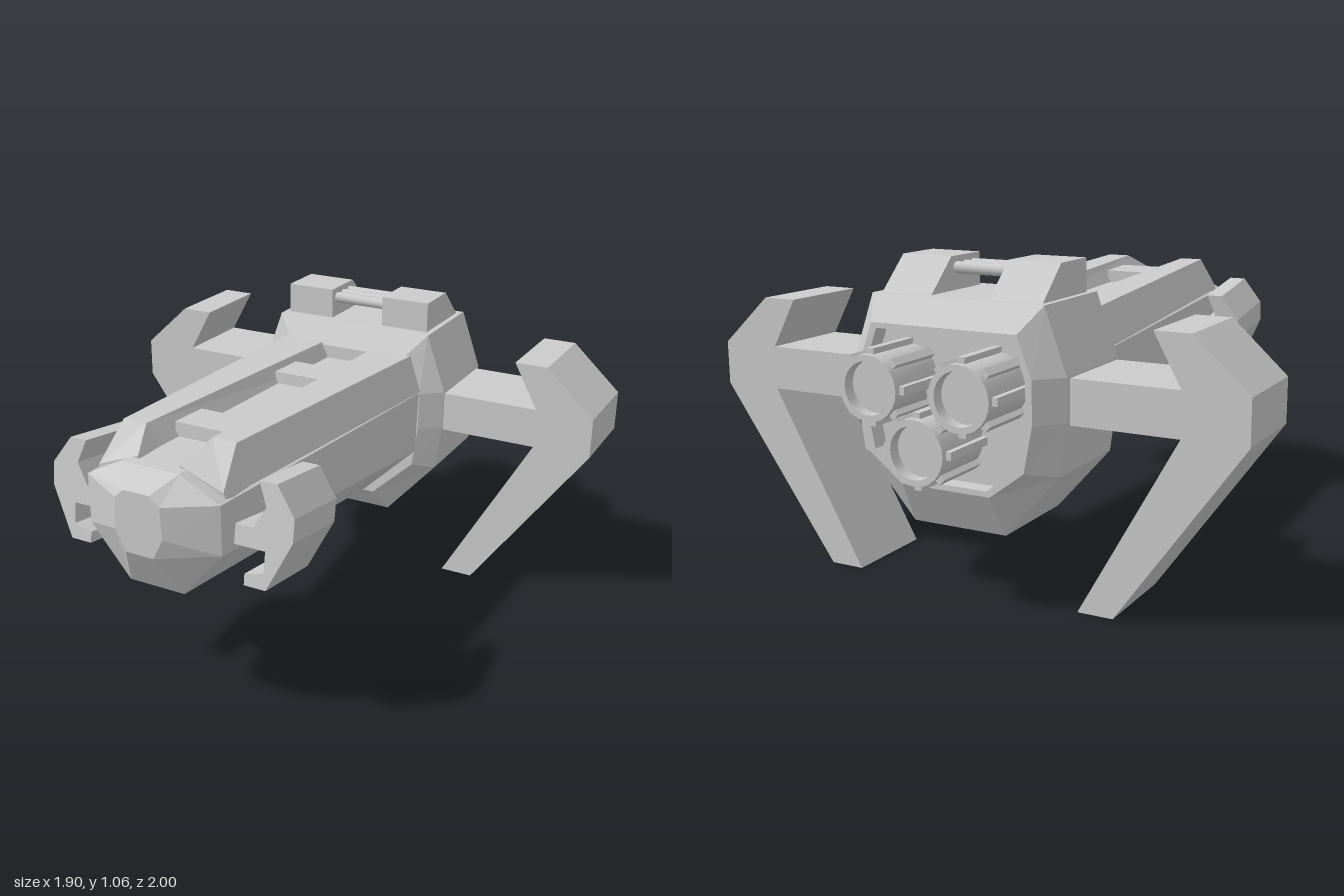
import * as THREE from 'three';
import { toCreasedNormals } from 'three/addons/utils/BufferGeometryUtils.js';

const material = new THREE.MeshStandardMaterial({ color: 0xcccccc, flatShading: true });
const smooth = new THREE.MeshStandardMaterial({ color: 0xcccccc });

// Mirror a half outline (bottom to top, x > 0) into a closed ring
const ring = (half) => [...half, ...half.slice().reverse().map(([x, y]) => [-x, y])];

// Skin counter-clockwise rings [z, points], listed from back to front, with end caps
function loft(sections) {
  const v = [];
  const n = sections[0][1].length;
  const at = (s, i) => [...sections[s][1][i % n], sections[s][0]];
  for (let s = 0; s < sections.length - 1; s++) {
    for (let i = 0; i < n; i++) {
      const a = at(s, i), b = at(s, i + 1), c = at(s + 1, i + 1), d = at(s + 1, i);
      v.push(...a, ...b, ...d, ...b, ...c, ...d);
    }
  }
  const last = sections.length - 1;
  for (let i = 1; i < n - 1; i++) {
    v.push(...at(0, 0), ...at(0, i + 1), ...at(0, i));
    v.push(...at(last, 0), ...at(last, i), ...at(last, i + 1));
  }
  const g = new THREE.BufferGeometry();
  g.setAttribute('position', new THREE.Float32BufferAttribute(v, 3));
  g.computeVertexNormals();
  return g;
}

// Extrude an outline in x-y, centred on z = 0
function slab(points, depth) {
  const shape = new THREE.Shape(points.map(([x, y]) => new THREE.Vector2(x, y)));
  return new THREE.ExtrudeGeometry(shape, { depth, bevelEnabled: false }).translate(0, 0, -depth / 2);
}

// Reflected copy across x with the corner order put right
function mirrored(geometry) {
  const g = geometry.index ? geometry.toNonIndexed() : geometry.clone();
  const p = g.attributes.position;
  for (let i = 0; i < p.count; i += 3) {
    const t = [0, 2, 1].map((k) => [-p.getX(i + k), p.getY(i + k), p.getZ(i + k)]);
    t.forEach((q, k) => p.setXYZ(i + k, ...q));
  }
  g.computeVertexNormals();
  return g;
}

export function createModel() {
  const model = new THREE.Group();
  model.name = 'spacecraft';
  const add = (name, geometry, mat = material) => {
    const mesh = new THREE.Mesh(geometry, mat);
    mesh.name = name;
    model.add(mesh);
    return mesh;
  };
  const addPair = (name, geometry) => {
    add(name + 'Left', geometry);
    add(name + 'Right', mirrored(geometry));
  };

  // Rear hull with a recessed engine bay
  const full = ring([[0.17, 0.215], [0.36, 0.43], [0.385, 0.6], [0.385, 0.74], [0.31, 0.95]]);
  const rear = ring([[0.16, 0.36], [0.28, 0.45], [0.31, 0.6], [0.31, 0.74], [0.26, 0.87]]);
  const front = ring([[0.13, 0.30], [0.29, 0.45], [0.31, 0.6], [0.31, 0.74], [0.24, 0.87]]);
  const bay = rear.map(([x, y]) => [x * 0.93, 0.62 + (y - 0.62) * 0.93]);
  add('rearHull', loft([
    [-0.775, bay], [-0.835, bay], [-0.835, rear], [-0.755, full], [-0.405, full], [-0.345, front],
  ]));

  // Long neck ending in a faceted nose
  add('neck', loft([
    [-0.4, ring([[0.1, 0.305], [0.305, 0.505], [0.31, 0.74], [0.1, 0.82]])],
    [0.92, ring([[0.1, 0.465], [0.24, 0.63], [0.24, 0.795], [0.1, 0.865]])],
    [1.0, ring([[0.05, 0.61], [0.085, 0.68], [0.08, 0.785], [0.045, 0.815]])],
  ]));

  // Armour ridges either side of the neck trough
  addPair('ridge', loft([
    [-0.4, [[0.315, 0.745], [0.265, 0.875], [0.1, 0.875], [0.065, 0.8]]],
    [0.77, [[0.25, 0.802], [0.205, 0.93], [0.12, 0.93], [0.065, 0.84]]],
    [0.88, [[0.235, 0.79], [0.225, 0.815], [0.075, 0.873], [0.068, 0.84]]],
  ]));

  // Cross braces spanning the trough
  for (const [z, y] of [[-0.045, 0.848], [0.585, 0.875]]) {
    const brace = add('troughBrace', new THREE.BoxGeometry(0.18, 0.05, 0.15));
    brace.position.set(0, y, z);
    brace.rotation.x = -0.045;
  }

  // Hooked wings
  addPair('wing', slab([
    [0.3, 0.59], [0.74, 0.59], [0.41, 0], [0.53, 0], [0.95, 0.59],
    [0.95, 0.735], [0.77, 0.9], [0.65, 0.9], [0.74, 0.735], [0.3, 0.735],
  ], 0.325).translate(0, 0, -0.5725));

  // Small tilted claws beside the nose
  addPair('frontClaw', slab([
    [0.2, -0.045], [0.35, -0.045], [0.35, -0.115], [0.285, -0.13], [0.285, -0.167], [0.36, -0.167],
    [0.44, 0], [0.44, 0.075], [0.375, 0.167], [0.315, 0.167], [0.345, 0.09],
    [0.305, 0.02], [0.2, 0.02],
  ], 0.265).rotateX(-0.15).translate(0, 0.67, 0.72));

  // Dorsal blocks joined by rods
  addPair('dorsalBlock', slab([
    [0.44, 0.93], [0.75, 0.93], [0.61, 1.06], [0.44, 1.06],
  ], 0.185).rotateY(Math.PI / 2).translate(0.1975, 0, 0));
  for (const z of [-0.48, -0.53, -0.58]) {
    add('dorsalRod', toCreasedNormals(
      new THREE.CylinderGeometry(0.02, 0.02, 0.24, 10).rotateZ(Math.PI / 2).translate(0, 1.022, z), 0.9), smooth);
  }

  // Three ribbed engine nozzles
  const profile = [[0.103, 0], [0.103, 0.23], [0.083, 0.23], [0.083, 0.19], [0, 0.19]]
    .map(([r, y]) => new THREE.Vector2(r, y));
  const nozzle = toCreasedNormals(new THREE.LatheGeometry(profile, 24).rotateX(-Math.PI / 2), 0.6);
  for (const [x, y] of [[-0.16, 0.7], [0.16, 0.7], [0, 0.52]]) {
    add('engineNozzle', nozzle, smooth).position.set(x, y, -0.77);
    for (let i = 0; i < 8; i++) {
      const rib = new THREE.BoxGeometry(0.026, 0.034, 0.21).translate(0, 0.103, 0);
      add('engineRib', rib.rotateZ((i * Math.PI) / 4)).position.set(x, y, -0.875);
    }
  }
  return model;
}
